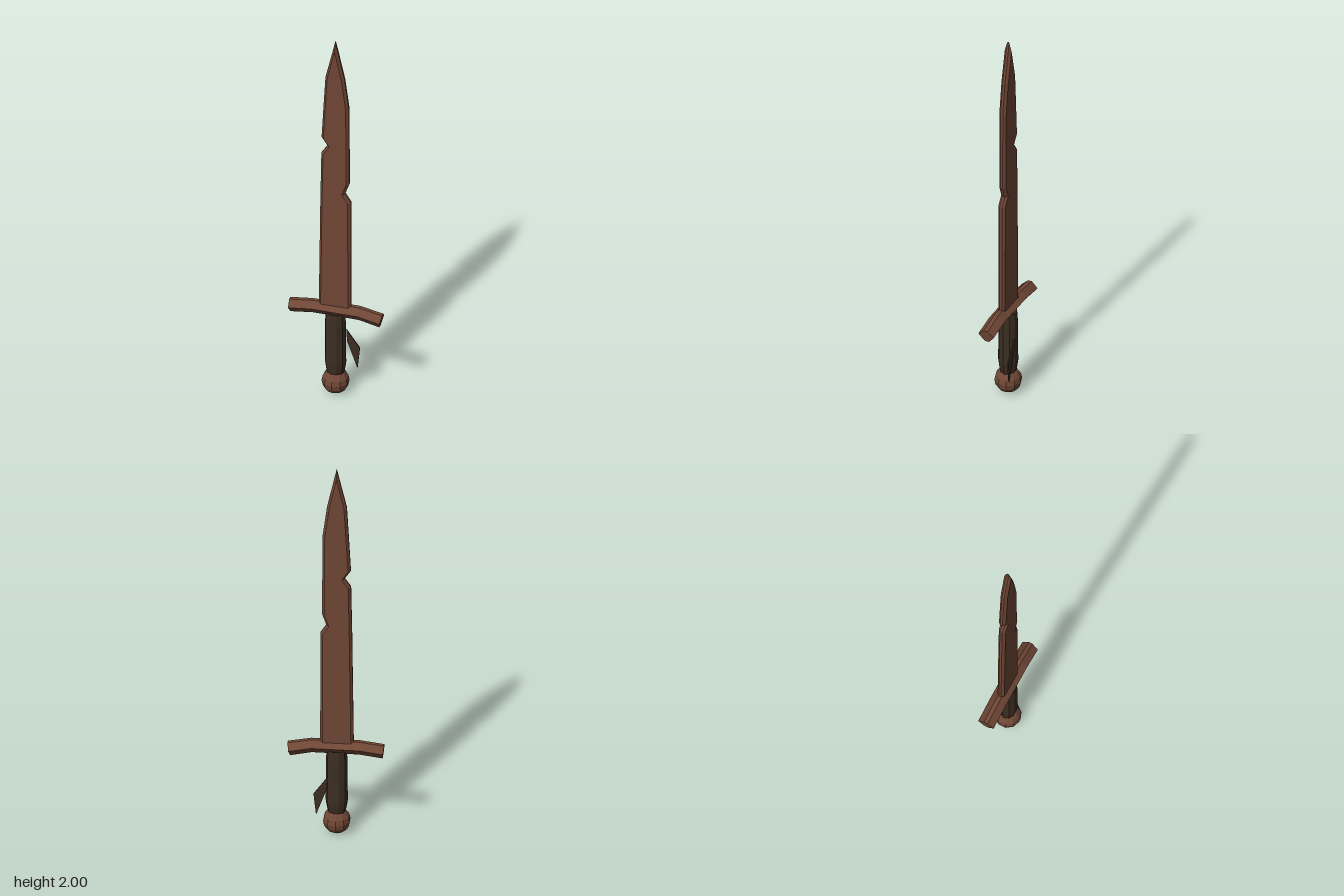
import * as THREE from 'three';

// Skin rings of [x, y, z] points with flat faces and closed ends
function loft(rings) {
  const n = rings[0].length, pos = [];
  const tri = (a, b, c) => pos.push(...a, ...b, ...c);
  for (let i = 0; i < rings.length - 1; i++) {
    const lo = rings[i], hi = rings[i + 1];
    for (let j = 0; j < n; j++) {
      const k = (j + 1) % n;
      tri(lo[j], lo[k], hi[k]);
      tri(lo[j], hi[k], hi[j]);
    }
  }
  const first = rings[0], last = rings[rings.length - 1];
  for (let j = 1; j < n - 1; j++) {
    tri(first[0], first[j + 1], first[j]);
    tri(last[0], last[j], last[j + 1]);
  }
  const g = new THREE.BufferGeometry();
  g.setAttribute('position', new THREE.Float32BufferAttribute(pos, 3));
  g.computeVertexNormals();
  return g;
}

function faceted(geometry) {
  const g = geometry.toNonIndexed();
  g.computeVertexNormals();
  return g;
}

export function createModel() {
  const model = new THREE.Group();
  const rust = new THREE.MeshStandardMaterial({ color: 0x6f4635 });
  rust.name = 'rusted metal';
  const leather = new THREE.MeshStandardMaterial({ color: 0x3c2e22, side: THREE.DoubleSide });
  leather.name = 'dark leather';
  const add = (name, geometry, material, x = 0, y = 0, z = 0) => {
    const mesh = new THREE.Mesh(geometry, material);
    mesh.name = name;
    mesh.position.set(x, y, z);
    model.add(mesh);
    return mesh;
  };
  const cx = -0.005, cz = -0.0015;

  // Notched blade: height, left edge, right edge, bevel width
  const bevel = 0.012, edgeZ = 0.006, faceZ = 0.018;
  const rows = [
    [0.46, -0.086, 0.073, bevel],
    [1.095, -0.078, 0.072, bevel],
    [1.14, -0.077, 0.043, bevel],
    [1.2, -0.076, 0.064, bevel],
    [1.355, -0.073, 0.064, bevel],
    [1.4, -0.042, 0.063, bevel],
    [1.445, -0.072, 0.063, bevel],
    [1.63, -0.062, 0.062, bevel],
    [1.79, -0.053, 0.041, bevel],
    [1.95, -0.016, 0.006, 0.011],
  ];
  const rings = rows.map(([y, l, r, b]) => [
    [l + b, y, faceZ], [r - b, y, faceZ], [r, y, edgeZ], [r, y, -edgeZ],
    [r - b, y, -faceZ], [l + b, y, -faceZ], [l, y, -edgeZ], [l, y, edgeZ],
  ]);
  // Tip closes to a short edge
  rings.push([1, 1, 1, -1, -1, -1, -1, 1].map((s) => [cx, 2, s * 0.004]));
  add('blade', loft(rings), rust, 0, 0, cz);

  // Bent crossguard with drooping ends: x, y, lean of the section
  const section = [
    [0.033, -0.01], [0.033, 0.01], [0.004, 0.041],
    [-0.033, 0.012], [-0.033, -0.012], [0.004, -0.041],
  ];
  const stations = [
    [-0.227, 0.457, -0.1], [-0.115, 0.472, -0.03],
    [0.115, 0.472, 0.05], [0.221, 0.449, 0.2],
  ];
  add('crossguard', loft(stations.map(([x, y, lean]) =>
    section.map(([h, z]) => [x + h * lean, y + h, z]))), rust, 0, 0, cz);

  // Wrapped grip
  const profile = [[0.04, 0.11], [0.047, 0.14], [0.053, 0.18], [0.051, 0.3], [0.052, 0.39], [0.047, 0.46]]
    .map(([r, y]) => new THREE.Vector2(r, y));
  const grip = add('grip', faceted(new THREE.LatheGeometry(profile, 10, Math.PI / 10)), leather, cx, 0, cz);
  grip.scale.z = 0.9;

  // Round pommel
  const ball = new THREE.SphereGeometry(0.066, 10, 8);
  ball.rotateY(Math.PI / 2);
  add('pommel', faceted(ball), rust, cx, 0.067, cz);

  // Loose strip of grip wrapping
  const strip = new THREE.Shape([[0.033, 0.33], [0.037, 0.265], [0.088, 0.12], [0.1, 0.235]]
    .map(([x, y]) => new THREE.Vector2(x, y)));
  add('looseStrap', new THREE.ExtrudeGeometry(strip, { depth: 0.006, bevelEnabled: false }),
    leather, 0, 0, -0.056);

  return model;
}
